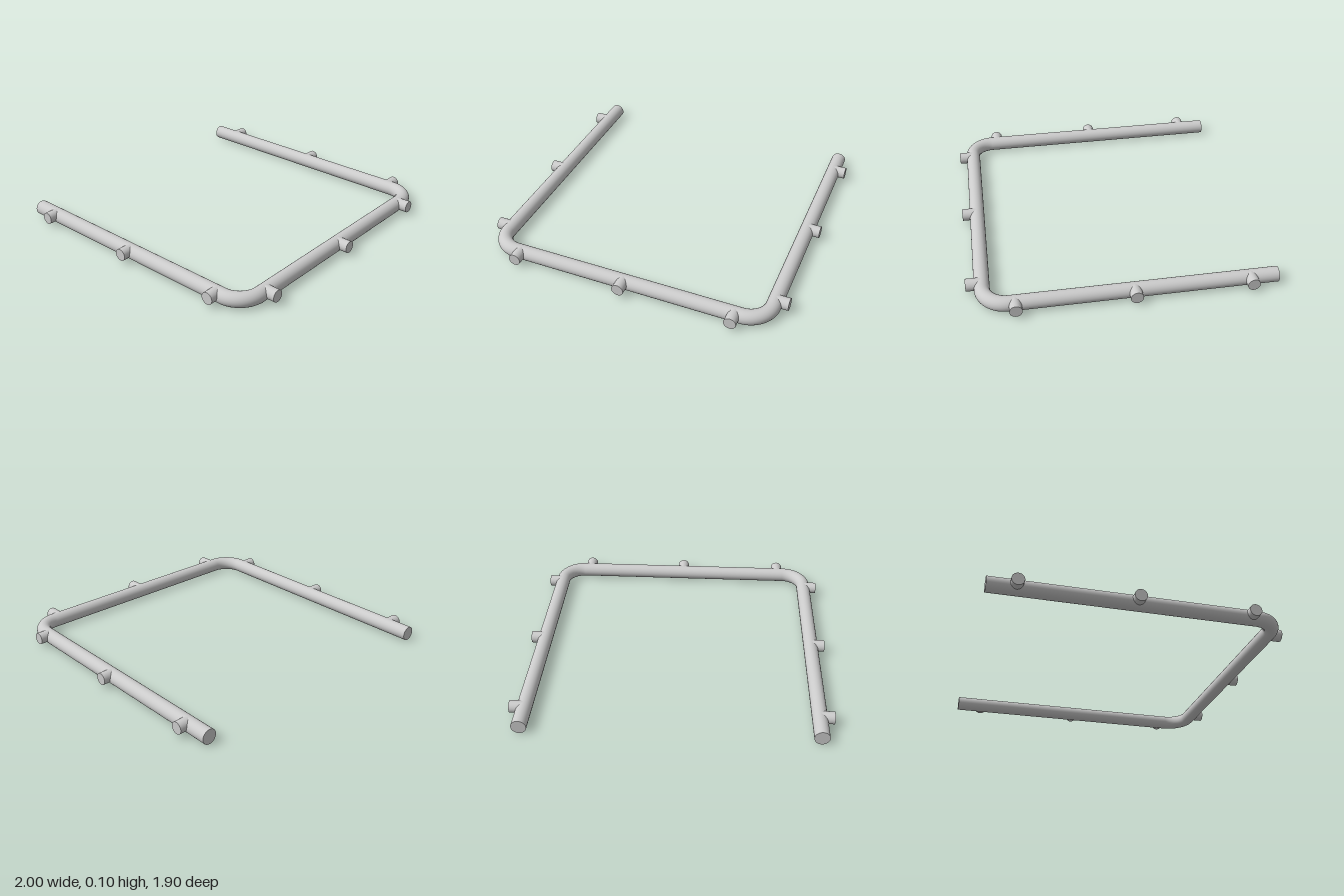
import * as THREE from 'three';

const R = 0.048;          // tube radius
const BEND = 0.15;        // centre-line bend radius
const X = 0.911;          // side rail centre
const FRONT = 0.853;      // front rail centre
const BACK = -0.95;       // open end of the side rails
const TUBE_Y = 0.049;
const PEG_Y = 0.058;
const PEG_R = 0.039;
const UP = new THREE.Vector3(0, 1, 0);

export function createModel() {
  const group = new THREE.Group();
  const material = new THREE.MeshStandardMaterial({ color: 0xcccccc });

  const add = (name, geometry) => {
    const mesh = new THREE.Mesh(geometry, material);
    mesh.name = name;
    group.add(mesh);
    return mesh;
  };

  // round bar between two points
  const rod = (name, radius, a, b) => {
    const from = new THREE.Vector3(...a);
    const dir = new THREE.Vector3(...b).sub(from);
    const mesh = add(name, new THREE.CylinderGeometry(radius, radius, dir.length(), 32));
    mesh.position.copy(from).addScaledVector(dir, 0.5);
    mesh.quaternion.setFromUnitVectors(UP, dir.normalize());
  };

  // front rail
  rod('frontRail', R, [-X + BEND, TUBE_Y, FRONT], [X - BEND, TUBE_Y, FRONT]);

  for (const [side, s] of [['left', 1], ['right', -1]]) {
    // side rail
    rod(side + 'Rail', R, [s * X, TUBE_Y, BACK], [s * X, TUBE_Y, FRONT - BEND]);

    // quarter bend joining side and front rails
    const bend = new THREE.TorusGeometry(BEND, R, 32, 24, Math.PI / 2).rotateX(Math.PI / 2);
    if (s < 0) bend.rotateY(-Math.PI / 2);
    add(side + 'Bend', bend).position.set(s * (X - BEND), TUBE_Y, FRONT - BEND);

    // pegs on the outside of the side rail
    for (const z of [-0.775, -0.055, 0.665]) {
      rod(side + 'Peg', PEG_R, [s * X, PEG_Y, z], [s, PEG_Y, z]);
    }
  }

  // pegs on the front rail
  for (const x of [-0.72, 0, 0.72]) {
    rod('frontPeg', PEG_R, [x, PEG_Y, FRONT], [x, PEG_Y, 0.95]);
  }

  return group;
}
